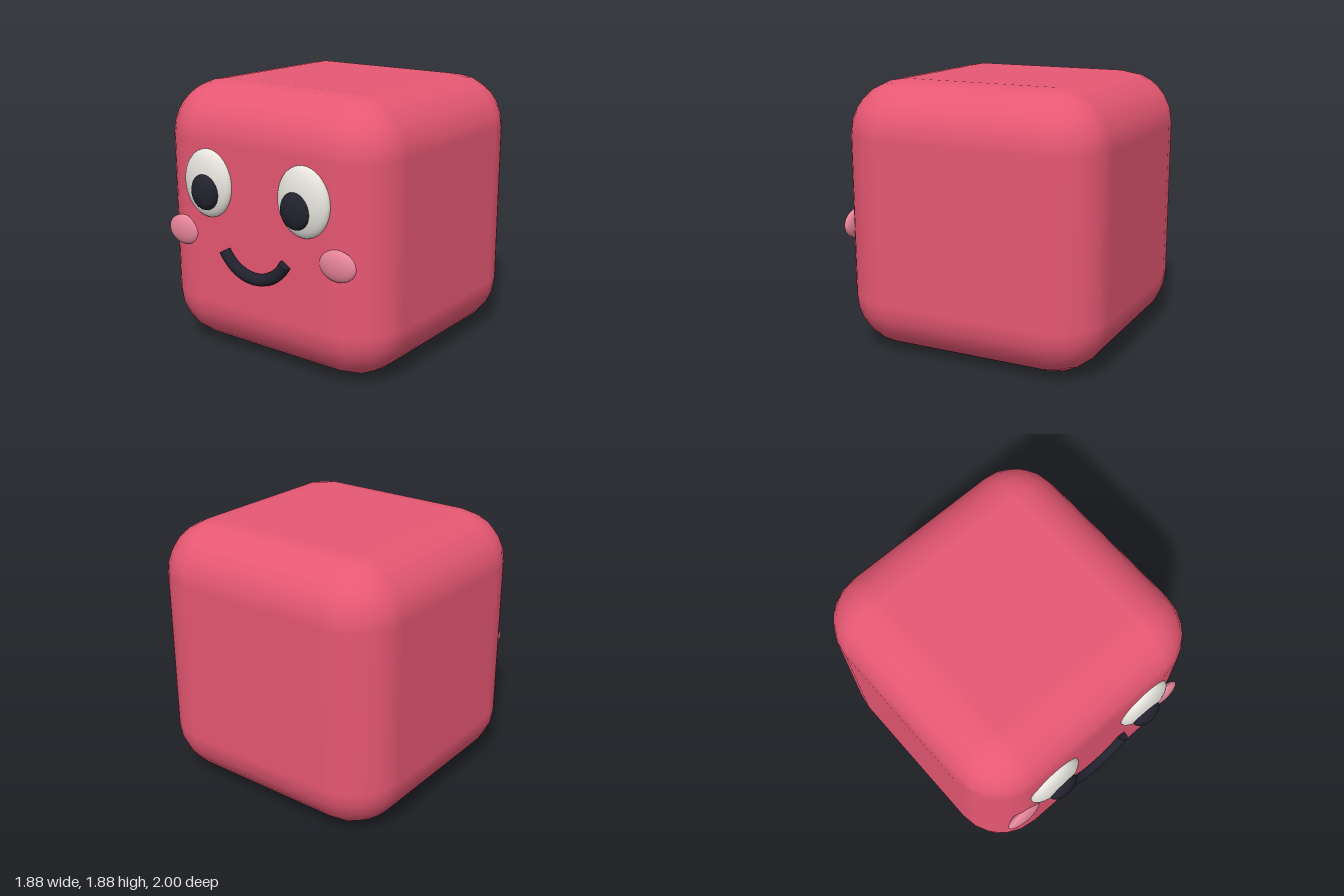
import * as THREE from 'three';
import { RoundedBoxGeometry } from 'three/addons/geometries/RoundedBoxGeometry.js';

function material(name, color) {
  const m = new THREE.MeshStandardMaterial({ color });
  m.name = name;
  return m;
}

export function createModel() {
  const red = material('rose red', 0xe85874);
  const white = material('warm white', 0xf2efe8);
  const dark = material('ink', 0x22222e);
  const pink = material('blush pink', 0xf08aa0);

  const model = new THREE.Group();
  model.name = 'cubeCharacter';

  function add(name, geometry, mat, x, y, z, parent = model) {
    const mesh = new THREE.Mesh(geometry, mat);
    mesh.name = name;
    mesh.position.set(x, y, z);
    parent.add(mesh);
    return mesh;
  }

  // Soft cube body
  add('body', new RoundedBoxGeometry(1.88, 1.88, 1.88, 3, 0.376), red, 0, 0.94, -0.06);

  // Flattened ellipsoids for the mirrored face parts
  const ball = new THREE.SphereGeometry(1, 32, 20);
  for (const [side, s] of [['left', 1], ['right', -1]]) {
    add(side + 'Eye', ball, white, s * 0.408, 1.227, 0.88).scale.set(0.207, 0.236, 0.075);
    add(side + 'Pupil', ball, dark, s * 0.388, 1.18, 0.94).scale.set(0.113, 0.124, 0.06);
    add(side + 'Cheek', ball, pink, s * 0.665, 0.853, 0.868).scale.set(0.141, 0.105, 0.043);
  }

  // Smile: a 120 degree arc of tube with closed ends
  const R = 0.302, r = 0.042, arc = Math.PI * 2 / 3, start = Math.PI * 7 / 6;
  const mouth = new THREE.Group();
  mouth.name = 'mouth';
  mouth.position.set(0, 0.935, 0.896);
  model.add(mouth);
  add('smile', new THREE.TorusGeometry(R, r, 12, 32, arc), dark, 0, 0, 0, mouth).rotation.z = start;
  for (const [name, a, turn] of [['rightSmileEnd', start, 1], ['leftSmileEnd', start + arc, -1]]) {
    const cap = add(name, new THREE.CircleGeometry(r, 12), dark, R * Math.cos(a), R * Math.sin(a), 0, mouth);
    // Face each cap outward along the tube
    cap.rotation.set(turn * Math.PI / 2, 0, a, 'ZYX');
  }

  return model;
}
